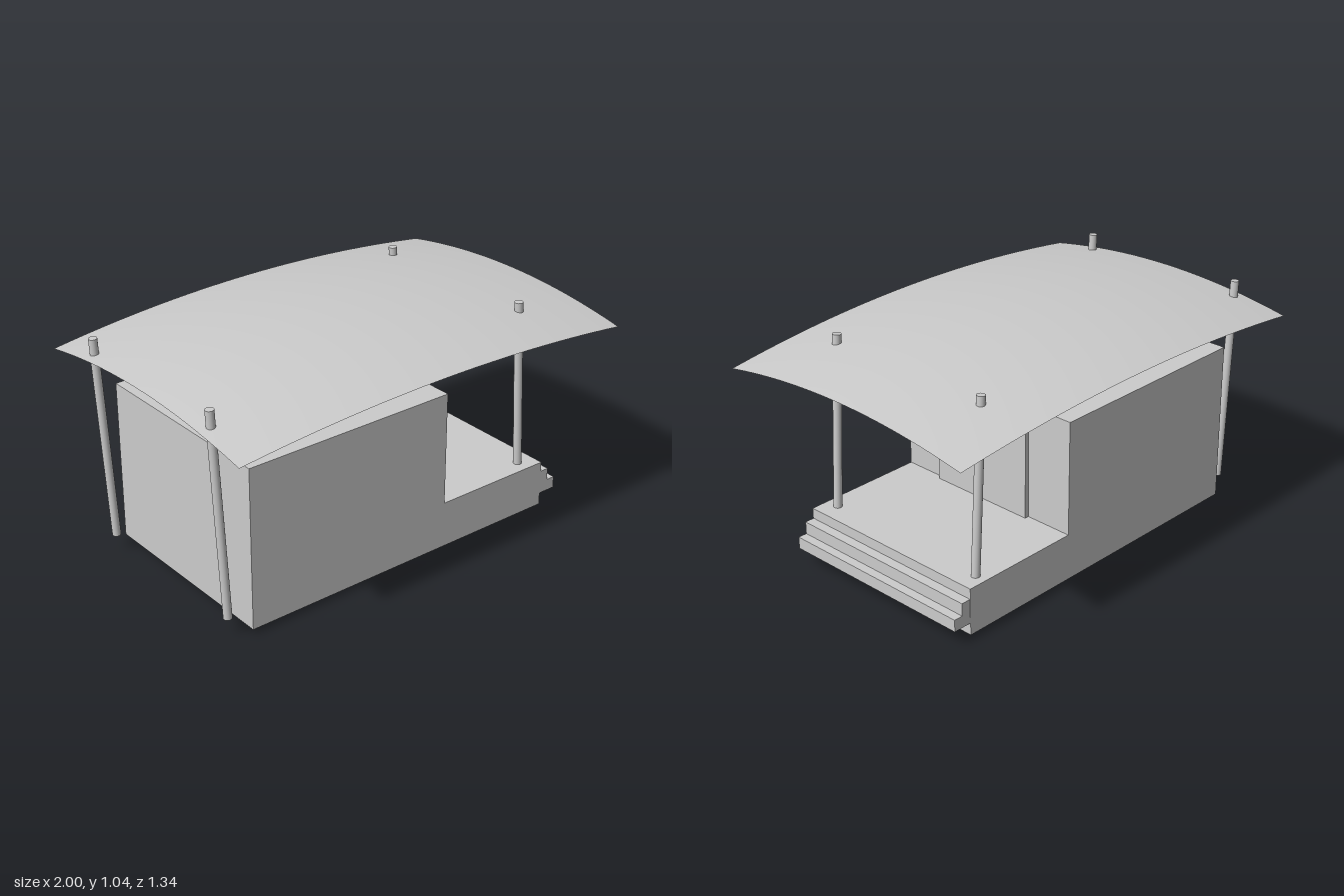
import * as THREE from 'three';

const material = new THREE.MeshStandardMaterial({ color: 0xcccccc });

function add(group, name, geometry, mat = material) {
  const mesh = new THREE.Mesh(geometry, mat);
  mesh.name = name;
  group.add(mesh);
  return mesh;
}

// Box given by its lower and upper corners
function addBox(group, name, [x0, y0, z0], [x1, y1, z1]) {
  const mesh = add(group, name, new THREE.BoxGeometry(x1 - x0, y1 - y0, z1 - z0));
  mesh.position.set((x0 + x1) / 2, (y0 + y1) / 2, (z0 + z1) / 2);
}

// Round post between two points
function addPost(group, name, bottom, top) {
  const axis = top.clone().sub(bottom);
  const mesh = add(group, name, new THREE.CylinderGeometry(0.019, 0.019, axis.length(), 24));
  mesh.position.copy(bottom).addScaledVector(axis, 0.5);
  mesh.quaternion.setFromUnitVectors(new THREE.Vector3(0, 1, 0), axis.normalize());
}

export function createModel() {
  const model = new THREE.Group();
  model.name = 'canopyHut';
  const back = -0.48, front = 0.467;

  // Room and deck share one L-shaped profile
  const profile = new THREE.Shape([
    [-0.82, 0.025], [0.78, 0.025], [0.78, 0.24], [0.2, 0.24], [0.2, 0.763], [-0.82, 0.763],
  ].map(([x, y]) => new THREE.Vector2(x, y)));
  const body = new THREE.ExtrudeGeometry(profile, { depth: front - back, bevelEnabled: false });
  add(model, 'roomAndDeck', body.translate(0, 0, back));

  // Core block that shows as a door panel and a base plate
  addBox(model, 'doorAndBaseCore', [-0.745, 0.003, -0.253], [0.22, 0.697, 0.266]);

  // Steps at the end of the deck
  addBox(model, 'upperStep', [0.78, 0.08, -0.478], [0.825, 0.192, 0.465]);
  addBox(model, 'lowerStep', [0.825, 0.08, -0.478], [0.867, 0.135, 0.465]);

  // Leaning posts that pass through the canopy
  for (const [side, z] of [['Right', 0.402], ['Left', -0.425]]) {
    const tip = z > 0 ? 1.033 : 1.027;
    addPost(model, 'rearPost' + side, new THREE.Vector3(-0.897, 0.08, z), new THREE.Vector3(-0.947, tip, z));
    addPost(model, 'deckPost' + side, new THREE.Vector3(0.702, 0.08, z), new THREE.Vector3(0.652, tip, z));
  }

  // Thin canopy, domed in both directions, slightly narrower at its ends
  const canopy = new THREE.PlaneGeometry(2, 2, 40, 30).rotateX(-Math.PI / 2);
  const points = canopy.attributes.position;
  for (let i = 0; i < points.count; i++) {
    const u = points.getX(i), v = points.getZ(i);
    points.setXYZ(i, u, 1.046 - 0.072 * u * u - 0.07 * v * v + 0.006 * u * u * v * v, v * (0.672 - 0.012 * u * u));
  }
  canopy.computeVertexNormals();
  const sheet = material.clone();
  sheet.side = THREE.DoubleSide;
  add(model, 'canopy', canopy, sheet);

  return model;
}
